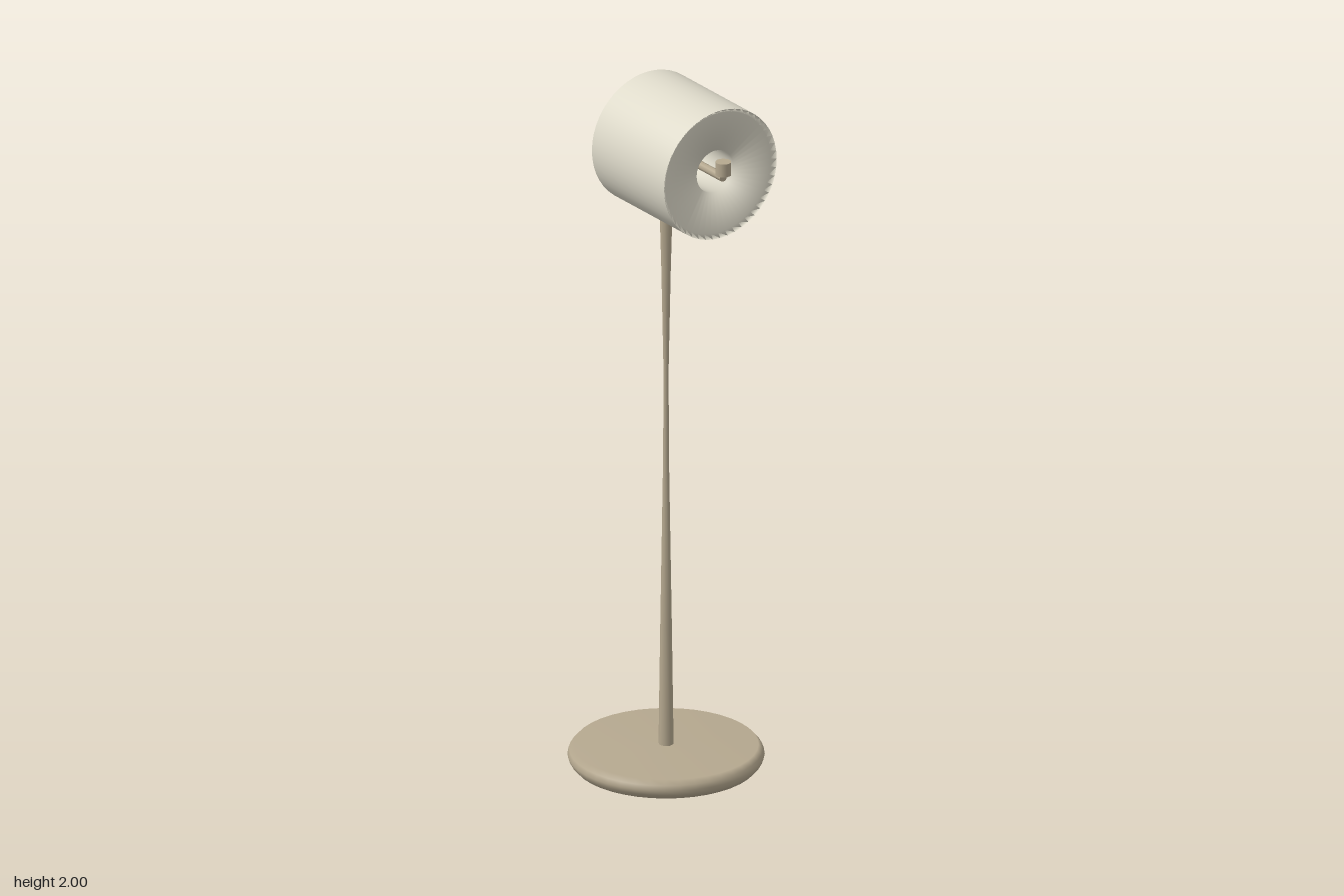
import * as THREE from 'three';

const points = (list) => list.map(([r, y]) => new THREE.Vector2(r, y));

export function createModel() {
  const model = new THREE.Group();
  model.name = 'tableLamp';
  const cream = new THREE.MeshStandardMaterial({ color: 0xdedaca });
  cream.name = 'cream';
  const tan = new THREE.MeshStandardMaterial({ color: 0xb5a88f });
  tan.name = 'tan';

  const add = (name, geometry, material, x, y) => {
    const mesh = new THREE.Mesh(geometry, material);
    mesh.name = name;
    mesh.position.set(x, y, 0);
    model.add(mesh);
    return mesh;
  };
  const axisX = -0.012;

  // Round base with a bulging edge
  add('base', new THREE.LatheGeometry(points([
    [0, 0], [0.25, 0], [0.262, 0.014], [0.267, 0.028],
    [0.262, 0.042], [0.25, 0.055], [0, 0.057],
  ]), 40), tan, axisX, 0);

  // Post with a narrow waist, reaching into the shade
  add('post', new THREE.LatheGeometry(points([
    [0.021, 0.04], [0.016, 0.4], [0.008, 0.9], [0.007, 1.15],
    [0.013, 1.45], [0.018, 1.63], [0.019, 1.81], [0, 1.81],
  ]), 8), tan, axisX, 0);

  // Shade: a thick barrel on its side, with dished ends and a through hole
  const half = 0.168, outer = 0.187, hole = 0.061;
  const end = [[hole, half - 0.025], [0.175, half - 0.012], [outer, half]];
  const shade = add('shade', new THREE.LatheGeometry(points([
    [hole, 0],
    ...end.map(([r, y]) => [r, -y]),
    ...[...end].reverse(),
    [hole, 0],
  ]), 48), cream, 0.073, 1.813);
  shade.rotation.z = -Math.PI / 2;

  // Switch: a rod running out of the hole to a small upright knob
  const rod = add('switchRod', new THREE.CylinderGeometry(0.012, 0.012, 0.267, 8), tan, 0.1215, 1.808);
  rod.rotation.z = -Math.PI / 2;
  add('switchKnob', new THREE.CylinderGeometry(0.022, 0.022, 0.038, 9), tan, 0.255, 1.836);

  return model;
}
